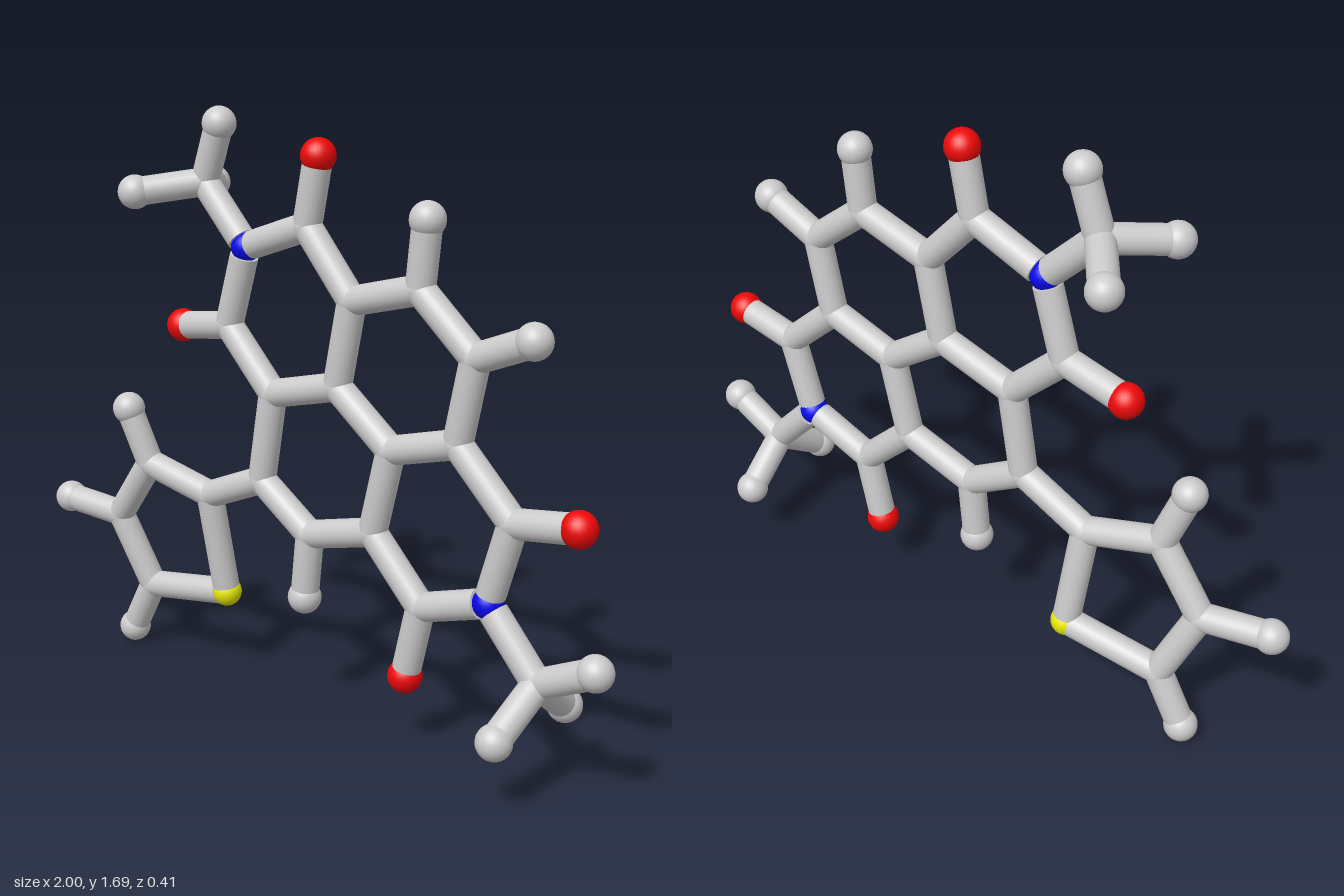
import * as THREE from 'three';

const BOND_RADIUS = 0.04;

// Atom kinds: name, colour, ball radius, and how far bonds stop short of the centre
const KINDS = {
  C: { name: 'carbonJoint', color: 0xcccccc, radius: 0.041, inset: 0 },
  H: { name: 'hydrogenBall', color: 0xcccccc, radius: 0.048, inset: 0 },
  O: { name: 'oxygenBall', color: 0xee0808, radius: 0.048, inset: 0.02 },
  N: { name: 'nitrogenJoint', color: 0x0808ee, radius: 0.042, inset: 0.027 },
  S: { name: 'sulfurBall', color: 0xe8e808, radius: 0.044, inset: 0.02 },
};

// Atoms: kind, x, y, z
const ATOMS = {
  // four fused rings
  n1: ['N', -0.24, 1.31, 0], a1: ['C', -0.01, 1.39, 0], a2: ['C', 0.15, 1.21, 0],
  a3: ['C', 0.10, 0.97, 0], a4: ['C', -0.14, 0.91, 0], a5: ['C', -0.31, 1.08, 0],
  b1: ['C', 0.38, 1.27, 0], b2: ['C', 0.56, 1.12, 0], b3: ['C', 0.51, 0.89, 0],
  b4: ['C', 0.29, 0.83, 0], c1: ['C', -0.185, 0.65, 0], c2: ['C', 0, 0.53, 0],
  c3: ['C', 0.23, 0.59, 0], d1: ['C', 0.40, 0.42, 0], n2: ['N', 0.62, 0.49, 0],
  d2: ['C', 0.69, 0.72, 0],
  // oxygens and hydrogens around the rings
  o1: ['O', 0.03, 1.58, 0], o2: ['O', -0.51, 1.05, -0.01],
  o3: ['O', 0.35, 0.21, 0], o4: ['O', 0.885, 0.75, 0],
  h1: ['H', 0.40, 1.45, 0], h2: ['H', 0.735, 1.19, 0], h3: ['H', -0.02, 0.34, 0],
  // methyl groups
  m1: ['C', -0.40, 1.475, 0], m1a: ['H', -0.34, 1.64, 0],
  m1b: ['H', -0.525, 1.45, 0.15], m1c: ['H', -0.525, 1.45, -0.155],
  m2: ['C', 0.78, 0.315, 0], m2a: ['H', 0.95, 0.395, 0],
  m2b: ['H', 0.765, 0.205, 0.155], m2c: ['H', 0.765, 0.205, -0.15],
  // tilted five-sided ring
  t1: ['C', -0.40, 0.56, 0], s: ['S', -0.38, 0.25, -0.045], t2: ['C', -0.67, 0.21, -0.01],
  t3: ['C', -0.76, 0.43, 0.035], t4: ['C', -0.62, 0.62, 0.035],
  h4: ['H', -0.755, 0.05, -0.005], h5: ['H', -0.955, 0.45, 0.07], h6: ['H', -0.675, 0.785, 0.065],
};

// Chains of bonded atoms, grouped by part
const CHAINS = {
  fusedRings: ['n1 a1 a2 a3 a4 a5 n1', 'a2 b1 b2 b3 b4 a3', 'a4 c1 c2 c3 b4', 'c3 d1 n2 d2 b3'],
  sideBonds: ['a1 o1', 'a5 o2', 'd1 o3', 'd2 o4', 'b1 h1', 'b2 h2', 'c2 h3'],
  upperMethyl: ['n1 m1 m1a', 'm1b m1 m1c'],
  lowerMethyl: ['n2 m2 m2a', 'm2b m2 m2c'],
  fiveSidedRing: ['c1 t1 s t2 t3 t4 t1', 't2 h4', 't3 h5', 't4 h6'],
};

const position = (id) => new THREE.Vector3(...ATOMS[id].slice(1));

// Cylinder between two atoms
function makeBond(from, to, material) {
  const a = position(from), b = position(to);
  const dir = b.clone().sub(a).normalize();
  a.addScaledVector(dir, KINDS[ATOMS[from][0]].inset);
  b.addScaledVector(dir, -KINDS[ATOMS[to][0]].inset);
  const geometry = new THREE.CylinderGeometry(BOND_RADIUS, BOND_RADIUS, a.distanceTo(b), 24);
  const bond = new THREE.Mesh(geometry, material);
  bond.position.copy(a).add(b).multiplyScalar(0.5);
  bond.quaternion.setFromUnitVectors(new THREE.Vector3(0, 1, 0), dir);
  bond.name = 'bond';
  return bond;
}

export function createModel() {
  const model = new THREE.Group();
  model.name = 'moleculeModel';
  const bondMaterial = new THREE.MeshStandardMaterial({ color: 0xcccccc });

  // Bonds
  for (const [name, chains] of Object.entries(CHAINS)) {
    const part = new THREE.Group();
    part.name = name;
    for (const chain of chains) {
      const ids = chain.split(' ');
      for (let i = 1; i < ids.length; i++) part.add(makeBond(ids[i - 1], ids[i], bondMaterial));
    }
    model.add(part);
  }

  // Atoms
  const atoms = new THREE.Group();
  atoms.name = 'atoms';
  for (const [kind, { name, color, radius }] of Object.entries(KINDS)) {
    const geometry = new THREE.SphereGeometry(radius, 24, 16);
    const material = new THREE.MeshStandardMaterial({ color });
    for (const id of Object.keys(ATOMS).filter((key) => ATOMS[key][0] === kind)) {
      const ball = new THREE.Mesh(geometry, material);
      ball.position.copy(position(id));
      ball.name = name;
      atoms.add(ball);
    }
  }
  model.add(atoms);
  return model;
}
